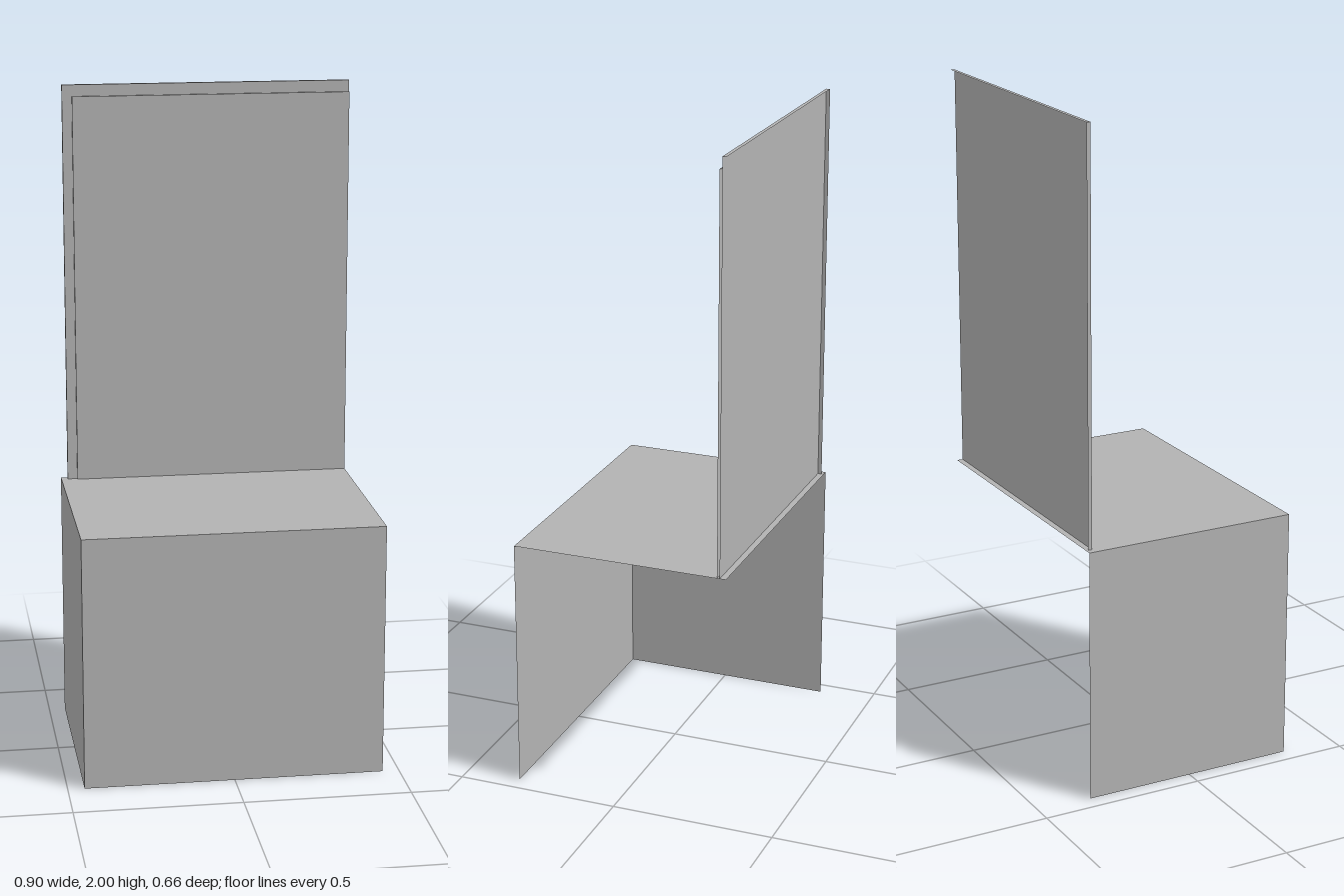
import * as THREE from 'three';

const grey = new THREE.MeshStandardMaterial({ color: 0xb2b2b2, side: THREE.DoubleSide });
grey.name = 'plainGrey';

// Thin sheet of size w x h, facing +z until turned
function sheet(name, w, h, position, rx = 0, ry = 0) {
  const mesh = new THREE.Mesh(new THREE.PlaneGeometry(w, h), grey);
  mesh.name = name;
  mesh.position.set(...position);
  mesh.rotation.set(rx, ry, 0);
  return mesh;
}

// Open shell: front, top and right-hand (-x) sheets only
function openShell(name, [x0, x1], [y0, y1], [z0, z1]) {
  const g = new THREE.Group();
  g.name = name;
  const w = x1 - x0, h = y1 - y0, d = z1 - z0;
  const cx = (x0 + x1) / 2, cy = (y0 + y1) / 2, cz = (z0 + z1) / 2;
  g.add(
    sheet(name + 'Front', w, h, [cx, cy, z1]),
    sheet(name + 'Top', w, d, [cx, y1, cz], -Math.PI / 2),
    sheet(name + 'Side', d, h, [x0, cy, cz], 0, -Math.PI / 2)
  );
  return g;
}

export function createModel() {
  const model = new THREE.Group();
  model.name = 'openBoxWithTallBack';
  model.add(
    // Lower box, open at the back, bottom and left
    openShell('base', [-0.45, 0.45], [0, 0.77], [-0.333, 0.33]),
    // Tall back board and the slightly smaller layer in front of it
    openShell('backBoard', [-0.43, 0.45], [0.77, 2], [-0.326, -0.314]),
    openShell('frontLayer', [-0.4, 0.45], [0.77, 1.965], [-0.314, -0.306])
  );
  return model;
}
